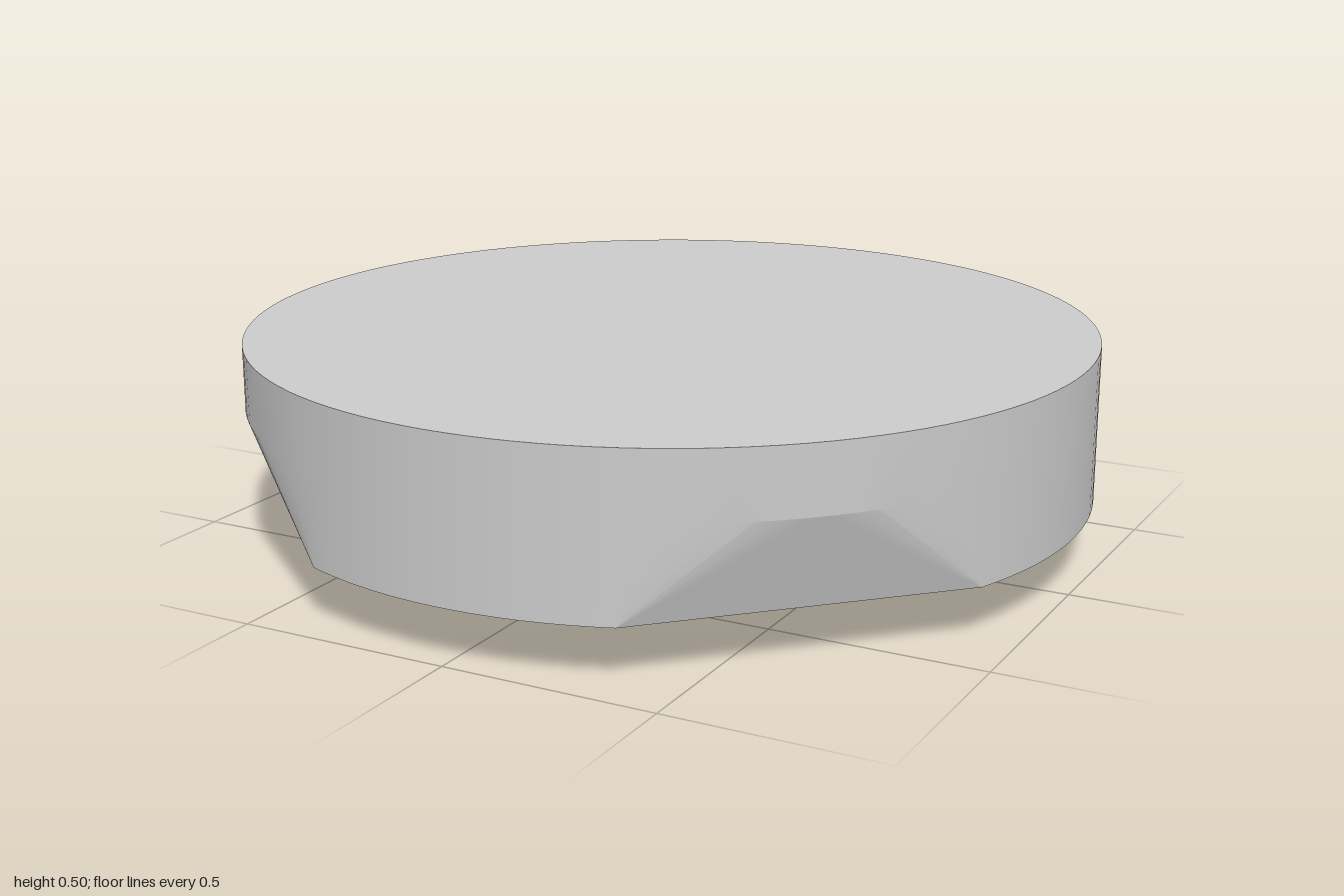
import * as THREE from 'three';
import { toCreasedNormals } from 'three/addons/utils/BufferGeometryUtils.js';

const SEGMENTS = 120;
const FLAT_HALF_ANGLE = THREE.MathUtils.degToRad(23.3);

// Circle points, offset half a step so one segment is centred on each diagonal.
// With flats, points near a diagonal snap to the ends of a straight chord.
function ring(radius, y, flats = false) {
  const points = [];
  for (let i = 0; i <= SEGMENTS; i++) {
    let a = (((i % SEGMENTS) + 0.5) / SEGMENTS) * Math.PI * 2;
    if (flats) {
      const diagonal = (Math.floor(a / (Math.PI / 2)) + 0.5) * (Math.PI / 2);
      const d = a - diagonal;
      if (Math.abs(d) < FLAT_HALF_ANGLE) a = diagonal + Math.sign(d) * FLAT_HALF_ANGLE;
    }
    points.push(new THREE.Vector3(Math.sin(a) * radius, y, Math.cos(a) * radius));
  }
  return points;
}

// Skin between rings listed from bottom to top, skipping collapsed triangles.
function loft(rings) {
  const positions = [];
  const triangle = (a, b, c) => {
    if (new THREE.Triangle(a, b, c).getArea() < 1e-8) return;
    for (const p of [a, b, c]) positions.push(p.x, p.y, p.z);
  };
  for (let r = 0; r < rings.length - 1; r++) {
    const low = rings[r], high = rings[r + 1];
    for (let i = 0; i < SEGMENTS; i++) {
      triangle(low[i], low[i + 1], high[i + 1]);
      triangle(low[i], high[i + 1], high[i]);
    }
  }
  const geometry = new THREE.BufferGeometry();
  geometry.setAttribute('position', new THREE.Float32BufferAttribute(positions, 3));
  return toCreasedNormals(geometry, 0.15);
}

export function createModel() {
  const group = new THREE.Group();
  group.name = 'discWithFlats';

  const disc = new THREE.Mesh(
    loft([
      ring(0, 0),          // underside centre
      ring(0.305, 0),      // small foot circle
      ring(1, 0.128, true), // lower rim with four diagonal flats
      ring(1, 0.348),      // where the flats run out into the wall
      ring(1, 0.502),      // top rim
      ring(0, 0.502),      // top centre
    ]),
    new THREE.MeshStandardMaterial({ color: 0xcccccc })
  );
  disc.name = 'disc';
  group.add(disc);
  return group;
}
